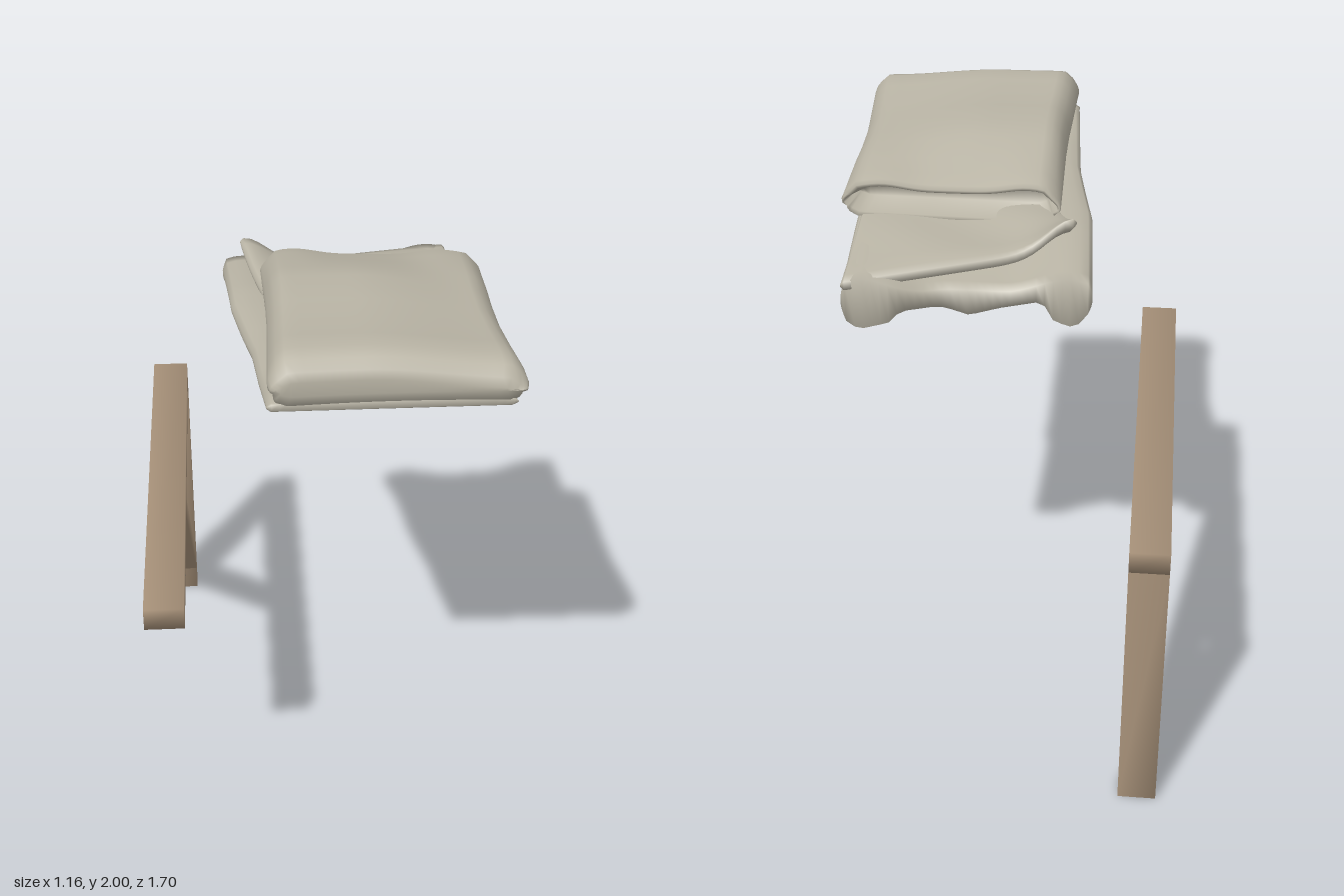
import * as THREE from 'three';
import { mergeVertices } from 'three/addons/utils/BufferGeometryUtils.js';

const cloth = new THREE.MeshStandardMaterial({ color: 0xb9b4a5, side: THREE.DoubleSide });
cloth.name = 'linen';
const wood = new THREE.MeshStandardMaterial({ color: 0xa8927a });
wood.name = 'wood';
const metal = new THREE.MeshStandardMaterial({ color: 0x98938a });
metal.name = 'screwMetal';

const lerp = THREE.MathUtils.lerp;
const smooth = THREE.MathUtils.smoothstep;

// Value at x from a short list of [x, value], x rising
function tab(points, x) {
  if (x <= points[0][0]) return points[0][1];
  for (let i = 1; i < points.length; i++) {
    const [a, va] = points[i - 1], [b, vb] = points[i];
    if (x <= b) return lerp(va, vb, (x - a) / (b - a));
  }
  return points[points.length - 1][1];
}

// Soft pad: one closed cross-section per station, f(u, station) -> { x, z, top, bot }
function pad(name, stations, f, bulge, sideProfile) {
  const NU = 28, SIDE = 6, pos = [], idx = [];
  let L = 0;
  for (const s of stations) {
    const loop = [];
    const side = (u, dir, flip) => {
      const p = f(u, s);
      for (let k = 1; k <= SIDE; k++) {
        const v = k / (SIDE + 1), w = flip ? 1 - v : v;
        loop.push([p.x + dir * bulge * sideProfile(w), lerp(p.top, p.bot, w), p.z]);
      }
    };
    for (let i = 0; i <= NU; i++) { const p = f(i / NU, s); loop.push([p.x, p.top, p.z]); }
    side(1, 1, false);
    for (let i = NU; i >= 0; i--) { const p = f(i / NU, s); loop.push([p.x, p.bot, p.z]); }
    side(0, -1, true);
    loop.unshift(...loop.splice(-SIDE / 2));
    L = loop.length;
    pos.push(...loop.flat());
  }
  const n = stations.length;
  for (let j = 0; j < n - 1; j++) {
    for (let i = 0; i < L; i++) {
      const a = j * L + i, b = j * L + (i + 1) % L, c = a + L, d = b + L;
      idx.push(a, b, c, b, d, c);
    }
  }
  // End caps
  for (let i = 0; i < L / 2 - 1; i++) {
    const a = i, b = i + 1, c = L - 1 - i, d = L - 2 - i, o = (n - 1) * L;
    idx.push(a, c, b, b, c, d, o + a, o + b, o + c, o + b, o + d, o + c);
  }
  const g = new THREE.BufferGeometry();
  g.setAttribute('position', new THREE.Float32BufferAttribute(pos, 3));
  g.setIndex(idx);
  g.computeVertexNormals();
  const m = new THREE.Mesh(g, cloth);
  m.name = name;
  return m;
}

const range = (a, b, n) => Array.from({ length: n + 1 }, (_, i) => lerp(a, b, i / n));
const round = v => Math.sin(Math.PI * v);
const creased = v => round(v) * (1 - 0.6 * Math.exp(-(((v - 0.75) / 0.12) ** 2)));

// Upper folded packet: station = [z, top, bottom, inset]; the last ones sink into the open end
function foldedPacket() {
  const stations = [
    [0.845, 1.925, 1.88, 0.02], [0.838, 1.955, 1.85, 0.008], [0.81, 1.982, 1.825, 0],
    [0.76, 1.997, 1.818, 0], [0.68, 1.993, 1.81, 0], [0.58, 1.985, 1.803, 0],
    [0.45, 1.987, 1.79, 0], [0.3, 1.992, 1.78, 0], [0.2, 1.975, 1.775, 0],
    [0.1, 1.952, 1.77, 0], [0.02, 1.93, 1.77, 0], [-0.04, 1.914, 1.772, 0],
    [-0.055, 1.904, 1.78, 0.004], [-0.045, 1.89, 1.79, 0.01], [0.06, 1.87, 1.805, 0.03],
  ];
  return pad('foldedPacket', stations, (u, [z, top, bot, inset]) => {
    const xl = tab([[-0.05, -0.145], [0.4, -0.138], [0.83, -0.152]], z) + inset;
    const xr = tab([[-0.05, 0.535], [0.4, 0.525], [0.83, 0.555]], z) - inset;
    const x = lerp(xl, xr, u);
    const edge = Math.min(1, Math.min(u, 1 - u) / 0.06);
    const rim = 0.025 * (1 - Math.sqrt(1 - (1 - edge) ** 2)) * Math.min(1, (top - bot) / 0.12);
    // Top falls towards the right-hand edge, most behind the front roll
    const slope = tab([[-0.05, 0.012], [0.1, 0.035], [0.3, 0.065], [0.55, 0.045], [0.8, 0.035]], z)
      * smooth(x, 0.1, 0.55);
    const back = smooth(-z, -0.25, 0.05);
    const dip = back * (0.022 * Math.exp(-(((x - 0.18) / 0.1) ** 2)) + 0.006 * Math.sin(x * 26));
    const front = smooth(z, 0.7, 0.84) * (0.01 * (2 * u - 1) ** 2 - 0.008);
    return {
      x, z: z + front + back * (0.018 * u - 0.012),
      top: top - rim - slope - dip, bot: bot + rim * 0.6,
    };
  }, 0.026, creased);
}

// Long lower layer, sloping to the back with drooping side hems and an arched underside
function lowerLayer() {
  const hem = [[-0.29, 0.05], [-0.25, 0], [-0.18, 0.02], [-0.14, 0.09], [0, 0.06], [0.1, 0.03],
    [0.2, 0.06], [0.32, 0.06], [0.36, 0.02], [0.46, -0.008], [0.5, 0.02]];
  const stations = [0.828, 0.815, ...range(0.78, -0.375, 24)];
  return pad('lowerLayer', stations, (u, z) => {
    const xl = tab([[-0.38, -0.28], [0.05, -0.255], [0.4, -0.195], [0.82, -0.165]], z);
    const xr = tab([[-0.38, 0.485], [0, 0.5], [0.4, 0.52], [0.82, 0.535]], z);
    const x = lerp(xl, xr, u);
    const k = smooth(-z, -0.3, 0.38);
    const edge = Math.max(0, 1 - Math.min(u, 1 - u) / 0.07);
    const top = tab([[-0.4, 1.74], [-0.2, 1.765], [-0.05, 1.782], [0.3, 1.795], [0.6, 1.82],
      [0.8, 1.86], [0.828, 1.85]], z);
    const bot = tab([[-0.38, 1.572], [-0.2, 1.645], [0, 1.705], [0.2, 1.715], [0.6, 1.76],
      [0.8, 1.805], [0.828, 1.825]], z);
    const arch = 0.022 * Math.sin(Math.PI * u) ** 2 * smooth(z, -0.3, 0.2) * smooth(-z, -0.82, -0.6);
    const low = bot + arch + k * tab(hem, lerp(-0.29, 0.5, u));
    const sag = k * 0.05 * smooth(Math.min(u, 1 - u), 0.08, 0.35);
    return {
      x, z: z - 0.058 * smooth(x, 0.15, 0.36) * k,
      top: Math.max(low + 0.02, top - sag - 0.01 * edge * edge),
      bot: low,
    };
  }, 0.015, round);
}

// Middle flap with a slanting back edge and one raised corner
function middleFlap() {
  return pad('middleFlap', range(0, 1, 14), (u, t) => {
    const x = lerp(lerp(-0.14, -0.22, t), lerp(0.49, 0.485, t), u);
    const z = lerp(0.06, lerp(-0.22, -0.44, u), t);
    const lift = 0.1 * t ** 2.5 * Math.exp(-((u / 0.15) ** 2));
    const y = lerp(lerp(1.805, 1.79, u), lerp(1.79, 1.745, u), t)
      + 0.008 * Math.sin(u * 8 + t * 3) * Math.sin(Math.PI * t);
    const roll = 0.02 * smooth(t, 0.88, 1);
    return { x, z, top: y + lift - roll * 0.4, bot: y + lift - 0.045 + roll * 0.4 };
  }, 0.012, round);
}

// Wooden part with softly blended shading across its edges
function timber(name, geometry) {
  geometry.deleteAttribute('normal');
  geometry.deleteAttribute('uv');
  const g = mergeVertices(geometry, 1e-4);
  g.computeVertexNormals();
  const m = new THREE.Mesh(g, wood);
  m.name = name;
  return m;
}

// Small slotted screw pointing up +y
function screw(name) {
  const g = new THREE.Group();
  g.name = name;
  const head = new THREE.Mesh(new THREE.CylinderGeometry(0.013, 0.019, 0.016, 14), metal);
  head.name = 'screwHead';
  head.position.y = 0.006;
  const slot = new THREE.Mesh(new THREE.BoxGeometry(0.022, 0.004, 0.005), wood);
  slot.name = 'screwSlot';
  slot.position.y = 0.0145;
  g.add(head, slot);
  return g;
}

function bracket() {
  const g = new THREE.Group();
  g.name = 'bracket';
  const X = -0.515, W = 0.13;
  const topBeam = timber('topBeam', new THREE.BoxGeometry(W, 0.078, 1.59));
  topBeam.position.set(X, 1.013, -0.055);
  const post = timber('post', new THREE.BoxGeometry(W, 0.975, 0.078));
  post.position.set(X, 0.4875, -0.811);

  // Diagonal brace cut flush to beam and post
  const s = new THREE.Shape([[0.11, 0.975], [0, 0.975], [-0.773, 0.2], [-0.773, 0.095]]
    .map(p => new THREE.Vector2(...p)));
  const brace = timber('brace', new THREE.ExtrudeGeometry(s, { depth: W, bevelEnabled: false }));
  brace.rotation.y = -Math.PI / 2;
  brace.position.x = X + W / 2;

  const postScrew = screw('postScrew');
  postScrew.rotation.x = Math.PI / 2;
  postScrew.position.set(X, 0.06, -0.772);
  const beamScrew = screw('beamScrew');
  beamScrew.rotation.x = Math.PI;
  beamScrew.position.set(X, 0.974, 0.625);
  g.add(topBeam, post, brace, postScrew, beamScrew);
  return g;
}

export function createModel() {
  const model = new THREE.Group();
  model.name = 'bracketAndFoldedCloth';
  const fold = new THREE.Group();
  fold.name = 'foldedCloth';
  fold.add(foldedPacket(), lowerLayer(), middleFlap());
  model.add(bracket(), fold);
  return model;
}
